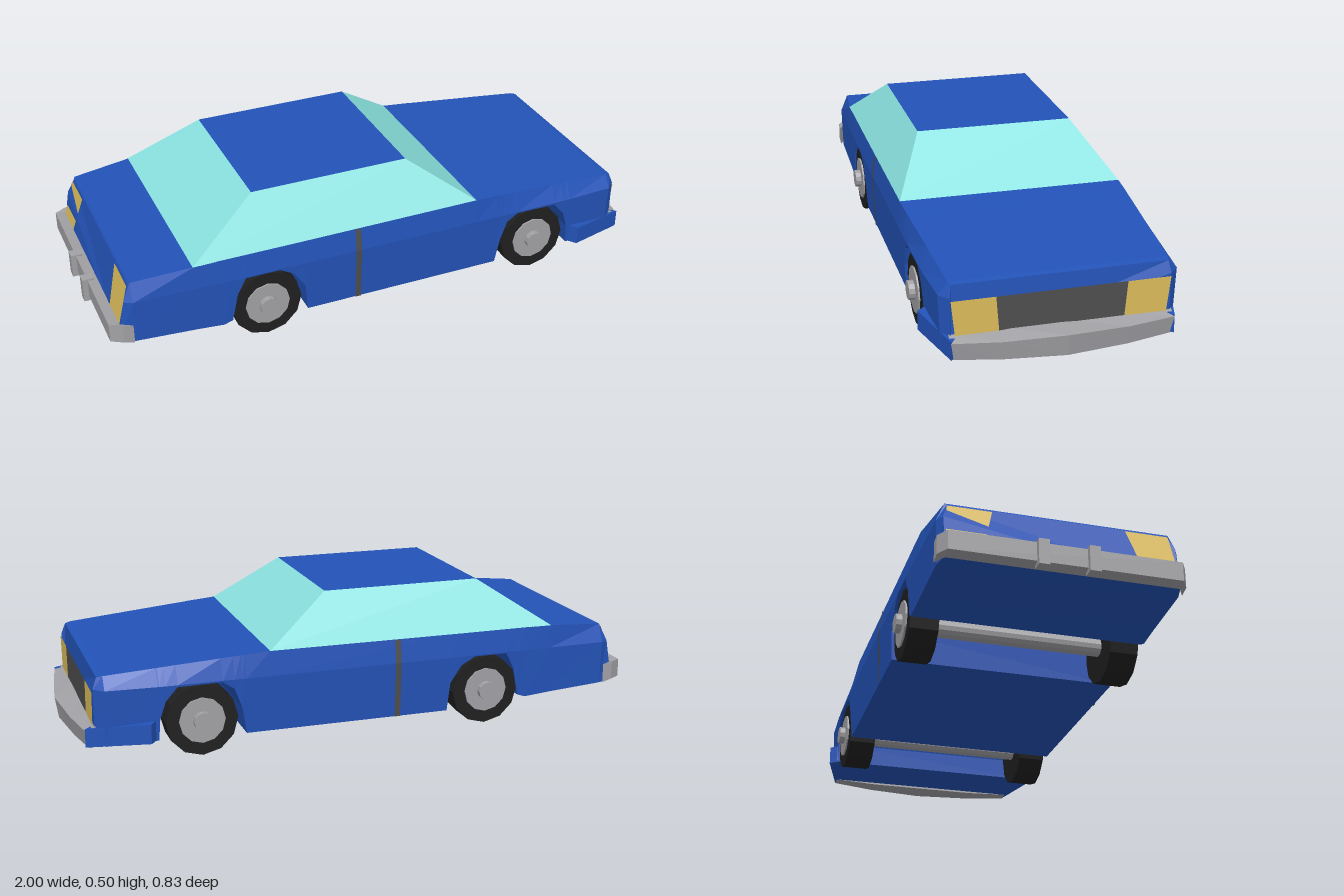
import * as THREE from 'three';

const mat = (name, color, opts = {}) => {
  const m = new THREE.MeshStandardMaterial({ color, flatShading: true, ...opts });
  m.name = name;
  return m;
};

// Joins equal-sized rings of points into a closed, flat-shaded solid facing outward.
function loft(rings) {
  const tris = [];
  const n = rings[0].length;
  for (let i = 0; i < rings.length - 1; i++) {
    for (let j = 0; j < n; j++) {
      const k = (j + 1) % n;
      const [a, b, c, d] = [rings[i][j], rings[i][k], rings[i + 1][k], rings[i + 1][j]];
      tris.push([a, b, c], [a, c, d]);
    }
  }
  const first = rings[0], last = rings[rings.length - 1];
  for (let j = 1; j < n - 1; j++) {
    tris.push([first[0], first[j + 1], first[j]], [last[0], last[j], last[j + 1]]);
  }
  const v = (p) => new THREE.Vector3(...p);
  const volume = tris.reduce((s, [a, b, c]) => s + v(a).dot(v(b).cross(v(c))), 0);
  if (volume < 0) tris.forEach((t) => t.reverse());
  return fromPoints(tris.flat());
}

function fromPoints(points) {
  const g = new THREE.BufferGeometry();
  g.setAttribute('position', new THREE.Float32BufferAttribute(points.flat(), 3));
  g.computeVertexNormals();
  return g;
}

const quad = (a, b, c, d) => fromPoints([a, b, c, a, c, d]);

export function createModel() {
  const car = new THREE.Group();
  car.name = 'car';
  const paint = mat('blue paint', 0x2353b8);
  const glass = mat('teal glass', 0x8ae2e0, { side: THREE.DoubleSide });
  const lamp = mat('yellow lamp', 0xdabb5a, { side: THREE.DoubleSide });
  const dark = mat('dark grey trim', 0x4e4e4e, { side: THREE.DoubleSide });
  const chrome = mat('grey metal', 0xa2a2a6);
  const rubber = mat('black rubber', 0x202020);

  const add = (name, geometry, material, parent = car) => {
    const m = new THREE.Mesh(geometry, material);
    m.name = name;
    parent.add(m);
    return m;
  };

  // Body stations: x, bottom y, top y, half widths at bottom, waist and top, x shifts of waist and top
  const stations = [
    [-0.955, 0.105, 0.308, 0.37, 0.372, 0.355, 0.027, 0.05],
    [-0.90, 0.10, 0.314, 0.385, 0.388, 0.362],
    [-0.69, 0.087, 0.332, 0.388, 0.392, 0.384],
    [-0.60, 0.08, 0.333, 0.39, 0.394, 0.385],
    [-0.57, 0.09, 0.333, 0.39, 0.395, 0.385],
    [-0.55, 0.19, 0.333, 0.393, 0.395, 0.385],
    [-0.52, 0.248, 0.333, 0.395, 0.396, 0.385],
    [-0.40, 0.248, 0.333, 0.395, 0.396, 0.385],
    [-0.35, 0.22, 0.333, 0.394, 0.396, 0.385],
    [-0.31, 0.16, 0.333, 0.393, 0.396, 0.385],
    [-0.30, 0.06, 0.333, 0.388, 0.396, 0.385],
    [0.335, 0.06, 0.335, 0.388, 0.396, 0.385],
    [0.42, 0.06, 0.329, 0.388, 0.396, 0.381],
    [0.435, 0.15, 0.328, 0.393, 0.396, 0.38],
    [0.46, 0.22, 0.326, 0.394, 0.396, 0.378],
    [0.50, 0.247, 0.323, 0.395, 0.396, 0.376],
    [0.65, 0.245, 0.312, 0.394, 0.395, 0.366],
    [0.69, 0.20, 0.309, 0.392, 0.394, 0.364],
    [0.71, 0.14, 0.307, 0.39, 0.393, 0.363],
    [0.715, 0.068, 0.307, 0.388, 0.393, 0.363],
    [0.885, 0.062, 0.294, 0.375, 0.383, 0.352],
    [0.918, 0.062, 0.29, 0.352, 0.352, 0.346, 0, -0.014],
  ];
  add('body', loft(stations.map(([x, yb, yt, wb, wm, wt, dm = 0, dt = 0]) => {
    const half = [[x, yb, wb], [x + dm, 0.252, wm], [x + dt, yt, wt]];
    return [...half, ...half.map(([a, b, c]) => [a, b, -c]).reverse()];
  })), paint);

  // Cabin: four sloping windows and a painted roof
  const base = [[-0.695, 0.332, 0.385], [0.335, 0.335, 0.385], [0.335, 0.335, -0.385], [-0.695, 0.332, -0.385]];
  const top = [[-0.45, 0.495, 0.274], [0.11, 0.495, 0.274], [0.11, 0.495, -0.274], [-0.45, 0.495, -0.274]];
  ['leftWindow', 'windshield', 'rightWindow', 'rearWindow'].forEach((name, i) => {
    const j = (i + 1) % 4;
    add(name, quad(base[i], base[j], top[j], top[i]), glass);
  });
  add('roof', quad(...top), paint);

  // Front grille and headlights
  const fx = 0.922;
  add('grille', quad([fx, 0.12, 0.2], [fx, 0.12, -0.2], [fx, 0.243, -0.21], [fx, 0.243, 0.21]), dark);

  for (const s of [1, -1]) {
    const side = s > 0 ? 'left' : 'right';
    add(side + 'Headlight', quad([fx, 0.12, s * 0.2], [fx, 0.12, s * 0.338],
      [fx, 0.243, s * 0.351], [fx, 0.243, s * 0.21]), lamp);

    // Tail lamp on the sloping rear face
    add(side + 'TailLamp', quad([-0.949, 0.16, s * 0.25], [-0.949, 0.16, s * 0.368],
      [-0.91, 0.302, s * 0.357], [-0.91, 0.302, s * 0.215]), lamp);

    // Door seam following the side
    for (const [y0, w0, y1, w1] of [[0.06, 0.391, 0.252, 0.399], [0.252, 0.399, 0.333, 0.388]]) {
      add(side + 'DoorSeam', quad([-0.125, y0, s * w0], [-0.105, y0, s * w0],
        [-0.105, y1, s * w1], [-0.125, y1, s * w1]), dark);
    }

    // Flared painted corner behind the front bumper
    const corner = [[0.715, 0.36], [0.725, 0.39], [0.745, 0.416], [0.95, 0.357], [0.92, 0.33]];
    add(side + 'FrontCorner', loft([0, 1].map((t) => corner.map(([x, z]) =>
      [x, t ? 0.137 - (x - 0.715) * 0.06 : 0.07 - (x - 0.715) * 0.04, s * z]))), paint);

    // Rear bumper guard
    add(side + 'BumperGuard', new THREE.BoxGeometry(0.04, 0.085, 0.035), chrome)
      .position.set(-0.98, 0.138, s * 0.08);
  }

  // Front bumper, bowed forward in the middle: z, front x, top y, bottom y
  const bow = [[0.357, 0.95, 0.117, 0.057], [0.2, 0.974, 0.115, 0.05], [0, 0.998, 0.124, 0.05],
    [-0.2, 0.974, 0.115, 0.05], [-0.357, 0.95, 0.117, 0.057]];
  add('frontBumper', loft(bow.map(([z, x, yt, yb]) =>
    [[0.905, 0.132, z], [x, yt, z], [x - 0.012, yb, z], [0.905, yb + 0.005, z]])), chrome);

  // Rear bumper with wrapped corners: z, outer x
  const wrap = [[0.394, -0.942], [0.37, -0.982], [-0.37, -0.982], [-0.394, -0.942]];
  add('rearBumper', loft(wrap.map(([z, x]) =>
    [[x + 0.035, 0.17, z], [x, 0.176, z], [x, 0.112, z], [x + 0.035, 0.102, z]])), chrome);

  // Wheels and axles
  const disc = (r, z0, z1, sides) => new THREE.CylinderGeometry(r, r, z1 - z0, sides)
    .rotateX(Math.PI / 2).translate(0, 0, (z0 + z1) / 2);
  for (const [end, x] of [['rear', -0.445], ['front', 0.57]]) {
    for (const s of [1, -1]) {
      const wheel = new THREE.Group();
      wheel.name = end + (s > 0 ? 'Left' : 'Right') + 'Wheel';
      wheel.position.set(x, 0.122, 0);
      wheel.rotation.y = s > 0 ? 0 : Math.PI;
      add('tire', disc(0.122, 0.29, 0.386, 12), rubber, wheel);
      add('rim', disc(0.078, 0.3, 0.392, 12), chrome, wheel);
      add('hub', disc(0.032, 0.39, 0.412, 12), chrome, wheel);
      car.add(wheel);
    }
    add(end + 'Axle', disc(0.03, -0.3, 0.3, 12), chrome).position.set(x, 0.122, 0);
  }
  return car;
}
